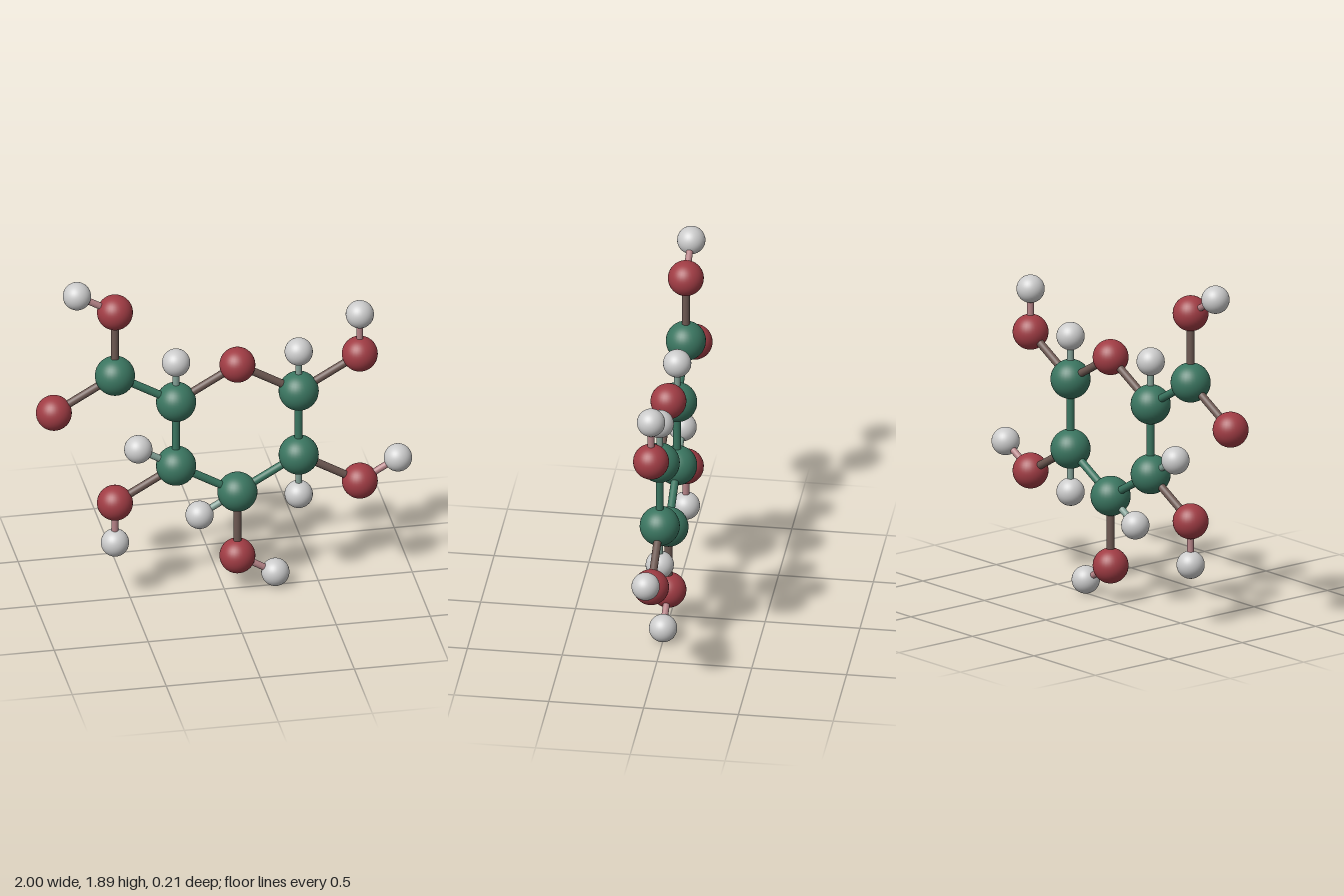
import * as THREE from 'three';

// Atom kinds: radius and colour
const KINDS = {
  carbon: { radius: 0.105, color: 0x3a7560 },
  oxygen: { radius: 0.094, color: 0xa03c44 },
  hydrogen: { radius: 0.074, color: 0xcccccc },
};

// Each atom: kind, x, y, and the index of the atom it is bonded to
const ATOMS = [
  // six-sided ring
  ['carbon', -0.256, 1.138, 5],
  ['oxygen', 0.07, 1.325, 0],
  ['carbon', 0.396, 1.138, 1],
  ['carbon', 0.396, 0.76, 2],
  ['carbon', 0.07, 0.573, 3],
  ['carbon', -0.256, 0.76, 4],
  // acid branch
  ['carbon', -0.581, 1.325, 0],
  ['oxygen', -0.581, 1.7, 6],
  ['oxygen', -0.906, 1.138, 6],
  ['hydrogen', -0.783, 1.816, 7],
  // oxygen and hydrogen branches
  ['oxygen', 0.721, 1.325, 2],
  ['hydrogen', 0.721, 1.558, 10],
  ['oxygen', 0.721, 0.573, 3],
  ['hydrogen', 0.924, 0.69, 12],
  ['oxygen', 0.07, 0.196, 4],
  ['hydrogen', 0.272, 0.078, 14],
  ['oxygen', -0.581, 0.573, 5],
  ['hydrogen', -0.581, 0.338, 16],
  // hydrogens on the ring
  ['hydrogen', -0.256, 1.37, 0],
  ['hydrogen', 0.396, 1.37, 2],
  ['hydrogen', 0.396, 0.527, 3],
  ['hydrogen', -0.131, 0.456, 4],
  ['hydrogen', -0.457, 0.877, 5],
];

export function createModel() {
  const model = new THREE.Group();
  model.name = 'molecule';

  const spheres = {};
  const materials = {};
  for (const [kind, { radius, color }] of Object.entries(KINDS)) {
    spheres[kind] = new THREE.SphereGeometry(radius, 32, 24);
    materials[kind] = new THREE.MeshStandardMaterial({ color });
  }

  // Bond colour is the even blend of its two atoms
  const bondMaterial = (a, b) => {
    const key = [a, b].sort().join('-');
    if (!materials[key]) {
      const [p, q] = [a, b].map((k) => new THREE.Color(KINDS[k].color).convertLinearToSRGB());
      materials[key] = new THREE.MeshStandardMaterial({ color: p.lerp(q, 0.5).convertSRGBToLinear() });
    }
    return materials[key];
  };

  const up = new THREE.Vector3(0, 1, 0);
  for (const [kind, x, y, partner] of ATOMS) {
    // Ball
    const atom = new THREE.Mesh(spheres[kind], materials[kind]);
    atom.name = `${kind}Atom`;
    atom.position.set(x, y, 0);
    model.add(atom);

    // Rod to the bonded atom
    const [otherKind, ox, oy] = ATOMS[partner];
    const along = new THREE.Vector3(ox - x, oy - y, 0);
    const radius = kind === 'hydrogen' ? 0.018 : 0.021;
    const bond = new THREE.Mesh(
      new THREE.CylinderGeometry(radius, radius, along.length(), 20),
      bondMaterial(kind, otherKind),
    );
    bond.name = `${kind}To${otherKind[0].toUpperCase()}${otherKind.slice(1)}Bond`;
    bond.position.set((x + ox) / 2, (y + oy) / 2, 0);
    bond.quaternion.setFromUnitVectors(up, along.normalize());
    model.add(bond);
  }
  return model;
}
